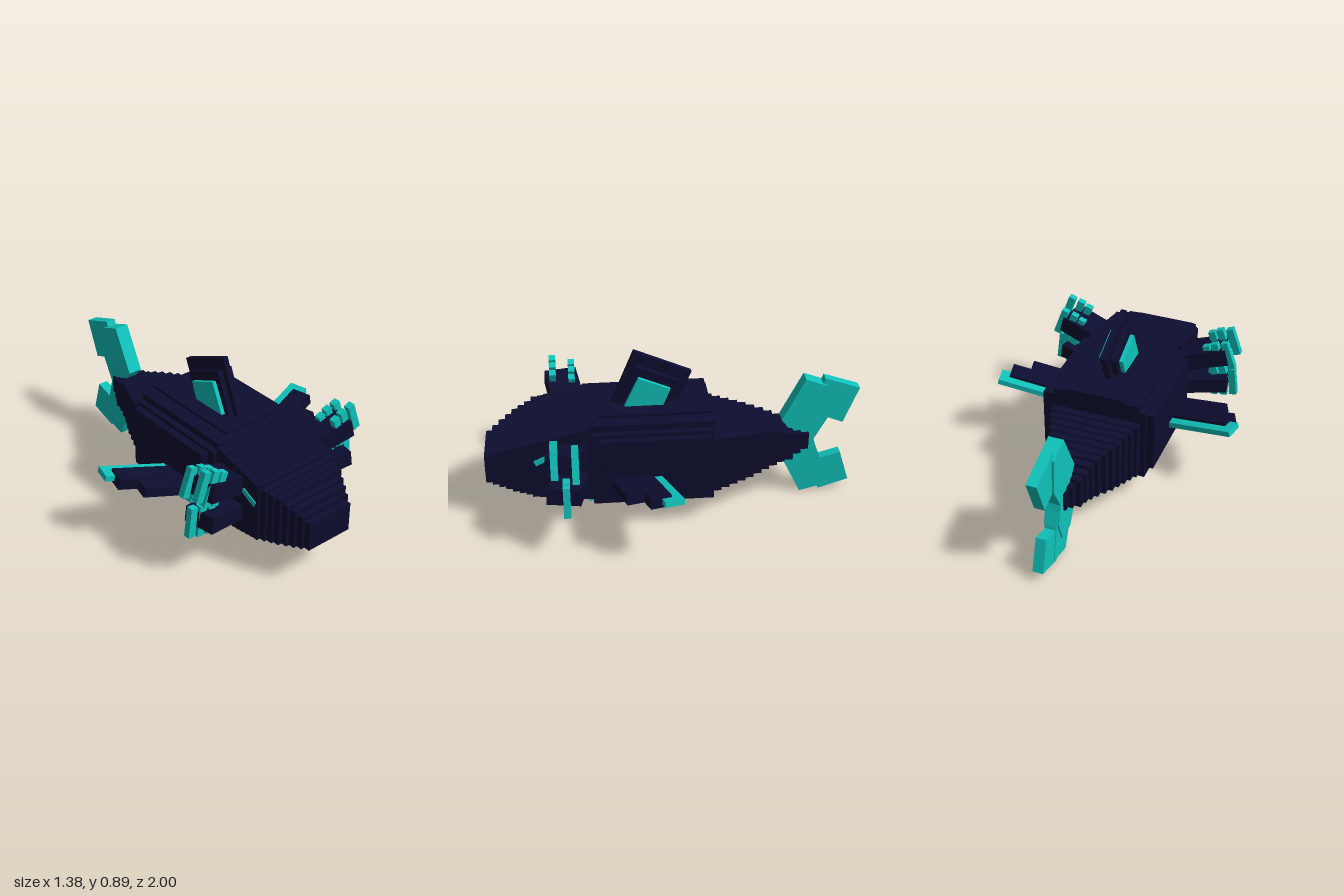
import * as THREE from 'three';

export function createModel() {
  const model = new THREE.Group();
  model.name = 'blockyShark';
  const navy = new THREE.MeshStandardMaterial({ color: 0x0d0d30 });
  navy.name = 'dark navy';
  const teal = new THREE.MeshStandardMaterial({ color: 0x10c2bb });
  teal.name = 'teal';

  // Box from min/max ranges on each axis
  function box(name, mat, [x0, x1], [y0, y1], [z0, z1], parent = model) {
    const m = new THREE.Mesh(new THREE.BoxGeometry(x1 - x0, y1 - y0, z1 - z0), mat);
    m.position.set((x0 + x1) / 2, (y0 + y1) / 2, (z0 + z1) / 2);
    m.name = name;
    parent.add(m);
    return m;
  }

  // Flat slab with an outline in (z, y), thickness centred on x
  function slab(name, mat, points, halfWidth, x = 0) {
    const shape = new THREE.Shape(points.map(([z, y]) => new THREE.Vector2(-z, y)));
    const geo = new THREE.ExtrudeGeometry(shape, { depth: halfWidth * 2, bevelEnabled: false });
    geo.translate(0, 0, -halfWidth).rotateY(Math.PI / 2);
    const m = new THREE.Mesh(geo, mat);
    m.position.x = x;
    m.name = name;
    model.add(m);
  }

  // Main body: stacked boxes give stepped corners
  box('bodyWide', navy, [-0.31, 0.31], [0.20, 0.54], [-0.165, 0.40]);
  box('bodyCore', navy, [-0.27, 0.27], [0.15, 0.56], [-0.19, 0.44]);
  box('bodyUpper', navy, [-0.235, 0.235], [0.16, 0.595], [-0.19, 0.45]);
  box('bodyRidge', navy, [-0.155, 0.155], [0.16, 0.61], [-0.19, 0.40]);

  // Nose and tail: stepped slices [z, half width, bottom, top]
  function slices(name, profile, count) {
    const zEnd = profile[profile.length - 1][0], zStart = profile[0][0];
    const step = (zEnd - zStart) / count;
    for (let i = 0; i < count; i++) {
      const z = zStart + step * i;
      const k = profile.findIndex((p, j) => j > 0 && (p[0] - z) * Math.sign(step) > 1e-6);
      const a = profile[k - 1], b = profile[k];
      const t = (z + step * 0.5 - a[0]) / (b[0] - a[0]);
      const [w, lo, hi] = [1, 2, 3].map((j) => THREE.MathUtils.lerp(a[j], b[j], Math.min(t, 1)));
      const z2 = z + step;
      box(name, navy, [-w, w], [lo, hi], [Math.min(z, z2), Math.max(z, z2)]);
    }
  }
  slices('noseSlice', [[0.44, 0.25, 0.165, 0.59], [0.60, 0.25, 0.18, 0.55], [0.73, 0.25, 0.20, 0.52],
    [0.84, 0.205, 0.21, 0.475], [0.92, 0.165, 0.22, 0.43], [1.0, 0.125, 0.23, 0.375]], 16);
  slices('tailSlice', [[-0.19, 0.25, 0.17, 0.495], [-0.40, 0.175, 0.205, 0.465], [-0.50, 0.125, 0.225, 0.45],
    [-0.60, 0.095, 0.25, 0.415], [-0.73, 0.045, 0.295, 0.38]], 12);

  // Belly panel and its front trim
  box('bellyPanel', teal, [-0.155, 0.155], [0.146, 0.154], [-0.16, 0.47]);
  box('bellyTrim', teal, [-0.25, 0.25], [0.158, 0.166], [0.42, 0.47]);

  // Tail flukes
  slab('upperFluke', teal, [[-0.58, 0.465], [-0.70, 0.704], [-0.82, 0.66], [-0.83, 0.47], [-0.76, 0.34],
    [-0.68, 0.34]], 0.04);
  slab('upperFlukeTip', teal, [[-0.74, 0.50], [-0.805, 0.70], [-0.995, 0.635], [-0.915, 0.43]], 0.028);
  slab('flukeRoot', teal, [[-0.62, 0.34], [-0.76, 0.34], [-0.79, 0.23], [-0.75, 0.12], [-0.65, 0.12],
    [-0.58, 0.25]], 0.04);
  slab('lowerFluke', teal, [[-0.58, 0.25], [-0.66, 0.32], [-0.76, 0.33], [-0.80, 0.224], [-0.84, 0.04],
    [-0.70, 0.005]], 0.032);
  slab('lowerFlukeTip', teal, [[-0.74, 0.19], [-0.915, 0.24], [-0.97, 0.064], [-0.805, 0.012]], 0.028);

  // Dorsal fin: thin core, thicker middle, teal side panels
  slab('dorsalFinCore', navy, [[0.33, 0.60], [0.205, 0.90], [-0.095, 0.77], [-0.02, 0.60]], 0.015);
  slab('dorsalFinMiddle', navy, [[0.30, 0.60], [0.20, 0.83], [-0.03, 0.73], [0.025, 0.60]], 0.045);

  const rad = THREE.MathUtils.degToRad;
  for (const s of [1, -1]) {
    const span = (a, b) => (s > 0 ? [a, b] : [-b, -a]);
    const joint = (name, x, y, z, yaw, lift) => {
      const g = new THREE.Group();
      g.name = name;
      g.position.set(x * s, y, z);
      g.rotation.set(0, rad(yaw) * s, rad(lift) * s);
      model.add(g);
      return g;
    };

    slab('dorsalFinPanel', teal, [[0.265, 0.60], [0.185, 0.77], [0.02, 0.70], [0.06, 0.60]], 0.011, s * 0.056);

    // Eye strip
    const eye = box('eyeStrip', teal, span(0.247, 0.256), [0.41, 0.44], [0.64, 0.74]);
    eye.rotation.x = rad(25);

    // Side fin: two dark blades with a teal trailing edge
    const fin = joint('sideFin', 0.31, 0.305, 0.2, 13, 14);
    box('finTrailingEdge', teal, span(-0.05, 0.40), [-0.015, 0.015], [-0.11, -0.01], fin);
    box('finBlade', navy, span(-0.05, 0.35), [-0.03, 0.03], [-0.06, 0.05], fin);
    box('finFrontBlade', navy, span(-0.05, 0.25), [-0.025, 0.025], [0.05, 0.14], fin);

    // Arms
    const upperArm = joint('upperArm', 0.25, 0.46, 0.555, -10, 15);
    box('upperArmBlock', navy, span(-0.06, 0.24), [-0.045, 0.05], [-0.09, 0.085], upperArm);
    const lowerArm = joint('lowerArm', 0.25, 0.30, 0.555, -10, 9);
    box('lowerArmBlock', navy, span(-0.06, 0.24), [-0.04, 0.045], [-0.09, 0.085], lowerArm);

    // Claws: rows of tilted bars [x, y, length]
    const clawRow = (name, z, tilt, drop, claws) => claws.forEach(([x, y, len]) => {
      const c = joint(name, x, y - drop, z, 0, tilt);
      box('clawBar', teal, [-0.02, 0.02], [-len / 2, len / 2], [-0.018, 0.018], c);
    });
    const upperClaws = [[0.498, 0.565, 0.16], [0.447, 0.535, 0.19], [0.40, 0.515, 0.18]];
    clawRow('upperClaw', 0.632, 20, 0, upperClaws);
    clawRow('upperClaw', 0.528, 20, 0.03, upperClaws);
    clawRow('lowerClaw', 0.578, -7, 0,
      [[0.52, 0.338, 0.165], [0.465, 0.325, 0.17], [0.41, 0.31, 0.16]]);
  }
  // Tilt of the lower claws follows the outward lean at their base
  model.traverse((o) => { if (o.name === 'lowerClaw') o.rotation.z *= -1; });

  return model;
}
